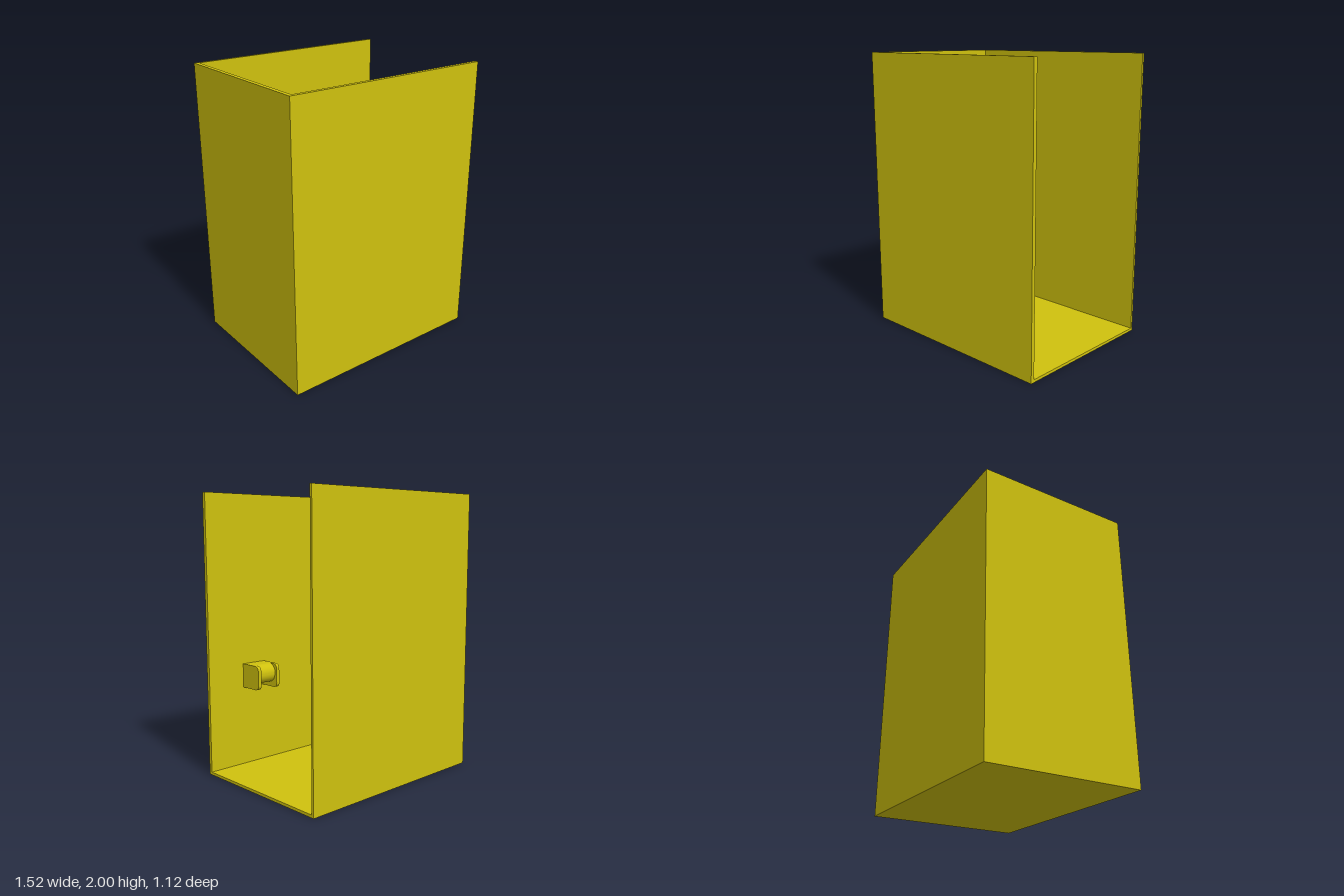
import * as THREE from 'three';

const material = new THREE.MeshStandardMaterial({ color: 0xcfc10e });

function add(parent, name, geometry, x = 0, y = 0, z = 0) {
  const mesh = new THREE.Mesh(geometry, material);
  mesh.name = name;
  mesh.position.set(x, y, z);
  parent.add(mesh);
  return mesh;
}

// Box given by its extents along each axis
function slab(parent, name, [x0, x1], [y0, y1], [z0, z1]) {
  return add(parent, name, new THREE.BoxGeometry(x1 - x0, y1 - y0, z1 - z0),
    (x0 + x1) / 2, (y0 + y1) / 2, (z0 + z1) / 2);
}

// Extrudes a (z, y) outline along x from x0 to x1
function sideExtrude(parent, name, shape, x0, x1) {
  const geometry = new THREE.ExtrudeGeometry(shape, {
    depth: x1 - x0, bevelEnabled: false, curveSegments: 16,
  });
  // outline x runs along -z after this turn, so outlines use u = -z
  geometry.rotateY(Math.PI / 2);
  return add(parent, name, geometry, x0, 0, 0);
}

function createPaperHolder() {
  const holder = new THREE.Group();
  holder.name = 'paperHolder';

  // Side brackets, rounded at the free end
  const wall = -0.535, tip = -0.352, bottom = 0.6, top = 0.775, r = 0.035;
  const bracket = new THREE.Shape();
  bracket.moveTo(wall, bottom);
  bracket.lineTo(tip - r, bottom);
  bracket.absarc(tip - r, bottom + r, r, -Math.PI / 2, 0, false);
  bracket.absarc(tip - r, top - r, r, 0, Math.PI / 2, false);
  bracket.lineTo(wall, top);
  sideExtrude(holder, 'rightBracket', bracket, 0.275, 0.3);
  sideExtrude(holder, 'leftBracket', bracket, 0.44, 0.467);

  // Curved cover over the roll
  const cu = -0.437, cy = 0.707, outer = 0.068, inner = 0.06;
  const cover = new THREE.Shape();
  cover.moveTo(wall, top);
  cover.lineTo(wall, cy + inner);
  cover.lineTo(cu, cy + inner);
  cover.absarc(cu, cy, inner, Math.PI / 2, 0, true);
  cover.lineTo(cu + outer, cy);
  cover.absarc(cu, cy, outer, 0, Math.PI / 2, false);
  sideExtrude(holder, 'cover', cover, 0.3, 0.44);

  // Hanging roll
  const roll = new THREE.CylinderGeometry(0.0645, 0.0645, 0.14, 40);
  roll.rotateZ(Math.PI / 2);
  add(holder, 'hangingRoll', roll, 0.37, 0.7, 0.437);
  return holder;
}

export function createModel() {
  const model = new THREE.Group();
  model.name = 'cubicle';

  // Enclosure, open at the top and on the left side
  slab(model, 'floor', [-0.76, 0.76], [0, 0.02], [-0.56, 0.56]);
  slab(model, 'frontWall', [-0.76, 0.76], [0.02, 2], [0.533, 0.56]);
  slab(model, 'backWall', [-0.76, 0.76], [0.02, 2], [-0.56, -0.543]);
  slab(model, 'rightWall', [-0.76, -0.731], [0.02, 2], [-0.543, 0.533]);
  slab(model, 'shelf', [-0.731, -0.515], [1.235, 1.253], [-0.543, 0.533]);

  // Stacked spare rolls on the shelf
  const spares = new THREE.Group();
  spares.name = 'spareRolls';
  const rollGeometry = new THREE.CylinderGeometry(0.076, 0.076, 0.146, 48);
  [[1.326, -0.281], [1.326, -0.45], [1.472, -0.354]].forEach(([y, z]) =>
    add(spares, 'spareRoll', rollGeometry, -0.622, y, z));
  model.add(spares);

  model.add(createPaperHolder());
  return model;
}
